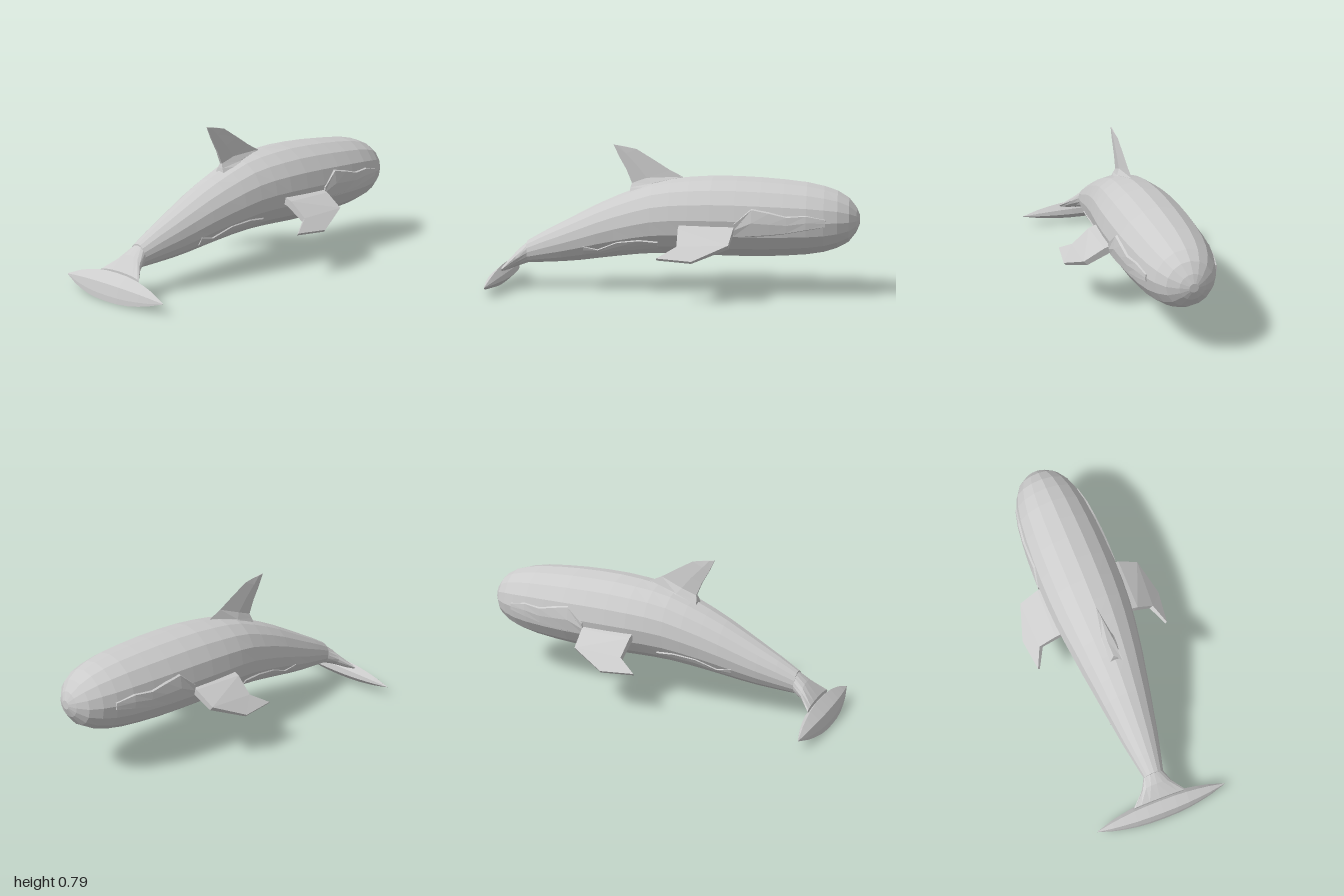
import * as THREE from 'three';

const material = new THREE.MeshStandardMaterial({ color: 0xcccccc, flatShading: true });
const Z0 = -0.006; // body mid-plane

// Closed skin through rings of [x, y, z] points, capped at both ends
function loft(name, rings) {
  const n = rings[0].length;
  const pos = [];
  let volume = 0;
  const tri = (a, b, c) => {
    pos.push([a, b, c]);
    volume += new THREE.Vector3(...a).dot(new THREE.Vector3(...b).cross(new THREE.Vector3(...c)));
  };
  for (let i = 0; i < rings.length - 1; i++) {
    for (let j = 0; j < n; j++) {
      const k = (j + 1) % n;
      const a = rings[i][j], b = rings[i][k], c = rings[i + 1][k], d = rings[i + 1][j];
      tri(a, b, c);
      tri(a, c, d);
    }
  }
  const cap = (ring, flip) => {
    const mid = [0, 1, 2].map(q => ring.reduce((s, p) => s + p[q], 0) / n);
    for (let j = 0; j < n; j++) {
      const a = ring[j], b = ring[(j + 1) % n];
      flip ? tri(mid, a, b) : tri(mid, b, a);
    }
  };
  cap(rings[0], false);
  cap(rings[rings.length - 1], true);
  // Turn the faces outward
  const flat = pos.flatMap(([a, b, c]) => (volume > 0 ? [...a, ...b, ...c] : [...a, ...c, ...b]));
  const geometry = new THREE.BufferGeometry();
  geometry.setAttribute('position', new THREE.Float32BufferAttribute(flat, 3));
  geometry.computeVertexNormals();
  const mesh = new THREE.Mesh(geometry, material);
  mesh.name = name;
  return mesh;
}

// Body stations: x, top y, bottom y, half width
const STATIONS = [
  [-0.8, 0.258, 0.135, 0.055], [-0.7, 0.315, 0.14, 0.078], [-0.6, 0.367, 0.146, 0.1],
  [-0.5, 0.419, 0.156, 0.118], [-0.4, 0.47, 0.17, 0.137], [-0.3, 0.515, 0.183, 0.154],
  [-0.2, 0.555, 0.195, 0.172], [-0.1, 0.59, 0.203, 0.187], [0, 0.61, 0.205, 0.201],
  [0.1, 0.621, 0.203, 0.212], [0.22, 0.629, 0.199, 0.219], [0.35, 0.629, 0.198, 0.221],
  [0.48, 0.624, 0.199, 0.219], [0.6, 0.615, 0.205, 0.212], [0.72, 0.602, 0.215, 0.2],
  [0.81, 0.583, 0.23, 0.182], [0.88, 0.56, 0.253, 0.158], [0.94, 0.523, 0.287, 0.121],
  [0.98, 0.473, 0.34, 0.068], [0.998, 0.43, 0.385, 0.024],
];

function station(x) {
  let i = 0;
  while (i < STATIONS.length - 2 && STATIONS[i + 1][0] < x) i++;
  const a = STATIONS[i], b = STATIONS[i + 1];
  const t = (x - a[0]) / (b[0] - a[0]);
  const [, top, bottom, hw] = a.map((v, q) => v + (b[q] - v) * t);
  return { cy: (top + bottom) / 2, hy: (top - bottom) / 2, hw };
}

function ellipse(x, cy, hy, hw, z0 = Z0, sides = 16) {
  return Array.from({ length: sides }, (_, j) => {
    const a = (j / sides) * Math.PI * 2;
    return [x, cy + hy * Math.cos(a), z0 + hw * Math.sin(a)];
  });
}

// Slightly raised skin patch on one flank; spans are x, low y, high y
function patch(name, spans, side, lift) {
  return loft(name, spans.map(([x, low, high]) => {
    const { cy, hy, hw } = station(x);
    return [[0, -0.012], [0.12, lift], [0.5, lift], [0.88, lift], [1, -0.012]].map(([t, off]) => {
      const s = THREE.MathUtils.clamp((low + (high - low) * t - cy) / hy, -1, 1);
      const a = Math.asin(s);
      return [x, cy + (hy + off) * s, Z0 + side * (hw + off) * Math.cos(a)];
    });
  }));
}

export function createModel() {
  const model = new THREE.Group();
  model.name = 'whale';

  model.add(loft('body', STATIONS.map(([x]) => {
    const { cy, hy, hw } = station(x);
    return ellipse(x, cy, hy, hw);
  })));

  // Tail stock flattens and spreads into the fluke
  model.add(loft('tailStock', [
    ellipse(-0.79, 0.198, 0.06, 0.054),
    ellipse(-0.85, 0.163, 0.046, 0.085, -0.009),
    ellipse(-0.915, 0.115, 0.022, 0.15, -0.014),
  ]));

  // Fluke: one section shrinking toward both tips
  const section = [[-1, 0], [-0.935, 0.02], [-0.89, 0.06], [-0.895, 0.093], [-0.928, 0.132], [-0.985, 0.085], [-0.998, 0.03]];
  const half = [[0.08, 0.97], [0.15, 0.87], [0.22, 0.68], [0.28, 0.47], [0.368, 0.03]];
  const spans = [...half.map(([z, s]) => [-z, s]).reverse(), [0, 1], ...half];
  model.add(loft('fluke', spans.map(([z, s]) =>
    section.map(([x, y]) => [-0.95 + (x + 0.95) * s, 0.057 + (y - 0.057) * s, z - 0.016]))));

  // Dorsal fin levels: leading x, y; trailing x, y; half thickness
  const levels = [
    [0.06, 0.605, -0.23, 0.535, 0.05],
    [0.055, 0.62, -0.226, 0.56, 0.03],
    [-0.015, 0.655, -0.22, 0.583, 0.012],
    [-0.1, 0.708, -0.25, 0.655, 0.009],
    [-0.195, 0.765, -0.29, 0.725, 0.006],
    [-0.25, 0.777, -0.32, 0.788, 0.003],
  ];
  model.add(loft('dorsalFin', levels.map(([lx, ly, tx, ty, h]) => {
    const mx = lx * 0.4 + tx * 0.6, my = ly * 0.4 + ty * 0.6;
    return [[lx, ly, Z0], [mx, my, Z0 + h], [tx, ty, Z0 + h * 0.6], [tx, ty, Z0 - h * 0.6], [mx, my, Z0 - h]];
  })));

  for (const [side, label] of [[1, 'front'], [-1, 'rear']]) {
    // Flipper ribs: trailing x, y, z; leading x, y, z; half thickness
    const ribs = [
      [0.06, 0.378, 0.17, 0.35, 0.378, 0.17, 0.02],
      [0.06, 0.36, 0.225, 0.347, 0.362, 0.225, 0.018],
      [0.065, 0.287, 0.322, 0.333, 0.3, 0.335, 0.013],
      [-0.033, 0.235, 0.373, 0.15, 0.226, 0.397, 0.007],
    ];
    model.add(loft(label + 'Flipper', ribs.map(([tx, ty, tz, lx, ly, lz, h]) => [
      [tx, ty + h * 0.7, side * (tz + h * 0.7)], [lx, ly + h * 0.7, side * (lz + h * 0.7)],
      [lx, ly - h, side * (lz - h * 0.7)], [tx, ty - h, side * (tz - h * 0.7)],
    ])));

    // Raised patches on the cheek and the rear flank
    model.add(patch(label + 'CheekPatch', [
      [0.35, 0.33, 0.41], [0.44, 0.32, 0.495], [0.53, 0.33, 0.475], [0.62, 0.345, 0.45],
      [0.72, 0.365, 0.455], [0.82, 0.385, 0.43],
    ], side, 0.006));
    model.add(patch(label + 'FlankPatch', [
      [-0.47, 0.2, 0.255], [-0.39, 0.205, 0.235], [-0.28, 0.225, 0.285], [-0.16, 0.235, 0.3], [-0.06, 0.25, 0.29],
    ], side, 0.004));
  }
  return model;
}
